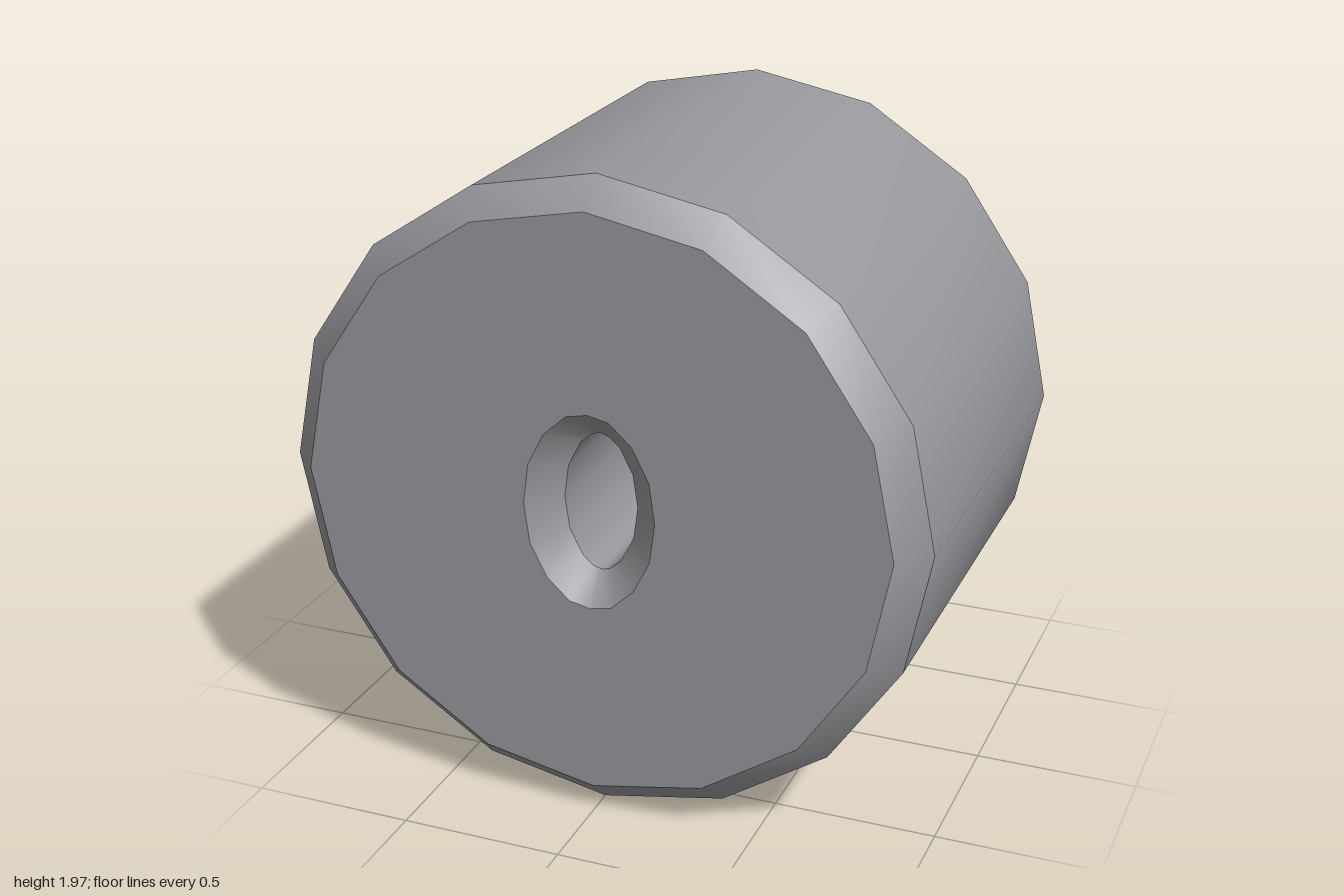
import * as THREE from 'three';

const SIDES = 16, CENTRE_Y = 0.987;

// Full ring of points, anticlockwise, mirrored from the quarter between +x and +y
function ring(quarter, z) {
  return Array.from({ length: SIDES }, (_, i) => {
    const q = Math.floor(i / 4), k = i % 4;
    const [x, y] = quarter[q % 2 ? 4 - k : k];
    return [q === 1 || q === 2 ? -x : x, q >= 2 ? -y : y, z];
  });
}

function ellipseQuarter(rx, ry) {
  return Array.from({ length: 5 }, (_, k) => {
    const a = (k * Math.PI) / 8;
    return [rx * Math.cos(a), ry * Math.sin(a)];
  });
}

// Band between two rings: smooth around, sharp against its neighbours
function band(name, a, b, material) {
  const index = [];
  for (let i = 0; i < SIDES; i++) {
    const j = (i + 1) % SIDES;
    index.push(i, SIDES + i, SIDES + j, i, SIDES + j, j);
  }
  const geometry = new THREE.BufferGeometry();
  geometry.setAttribute('position', new THREE.Float32BufferAttribute([...a, ...b].flat(), 3));
  geometry.setIndex(index);
  geometry.computeVertexNormals();
  const mesh = new THREE.Mesh(geometry, material);
  mesh.name = name;
  return mesh;
}

export function createModel() {
  const grey = new THREE.MeshStandardMaterial({ color: 0x98979c });
  grey.name = 'grey';

  // Cross-sections
  const outer = ellipseQuarter(1, 0.985);
  const face = ellipseQuarter(0.91, 0.9);
  const rim = [[0.205, 0], [0.188, 0.125], [0.136, 0.226], [0.066, 0.29], [0, 0.304]];
  const hole = [[0.115, 0], [0.101, 0.1], [0.06, 0.18], [0.026, 0.209], [0, 0.217]];
  const zFace = 0.738, zEdge = 0.648;

  // Closed loop of rings: front face, outside, back face, then through the hole
  const rings = [
    ring(rim, zFace), ring(face, zFace), ring(outer, zEdge), ring(outer, -zEdge),
    ring(face, -zFace), ring(rim, -zFace), ring(hole, -zEdge), ring(hole, zEdge),
  ];
  const names = [
    'frontFace', 'frontBevel', 'outerWall', 'backBevel',
    'backFace', 'backHoleBevel', 'holeWall', 'frontHoleBevel',
  ];

  const model = new THREE.Group();
  model.name = 'roller';
  names.forEach((name, i) => {
    model.add(band(name, rings[i], rings[(i + 1) % rings.length], grey));
  });
  model.position.y = CENTRE_Y;
  return model;
}
